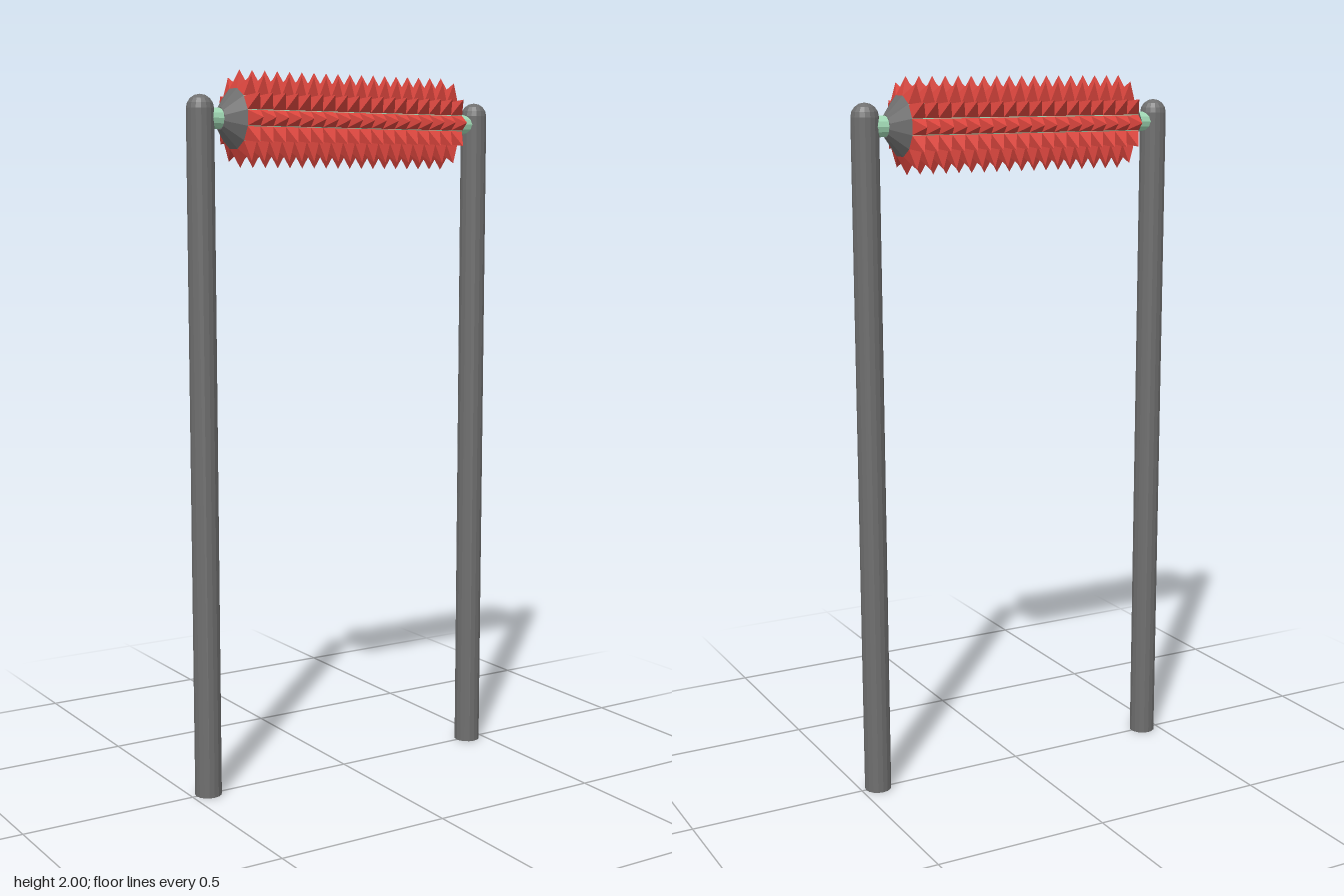
import * as THREE from 'three';
import { mergeGeometries } from 'three/addons/utils/BufferGeometryUtils.js';

const AXIS_Y = 1.87;      // height of the roller axis
const DRUM_HALF = 0.35;   // half length of the drum
const DRUM_R = 0.08;      // axis to flat side of the drum
const TIP_R = 0.13;       // axis to spike tip
const ROWS = 12, PER_ROW = 18;

const material = (color) => new THREE.MeshStandardMaterial({ color, flatShading: true });

function addMesh(parent, name, geometry, mat) {
  const mesh = new THREE.Mesh(geometry, mat);
  mesh.name = name;
  parent.add(mesh);
  return mesh;
}

// Post with a flat foot and a domed top
function postGeometry() {
  const r = 0.0375, shoulder = 1.895;
  const profile = [new THREE.Vector2(0, 0), new THREE.Vector2(r, 0)];
  for (let i = 0; i <= 4; i++) {
    const a = (i / 4) * Math.PI / 2;
    profile.push(new THREE.Vector2(i === 4 ? 0 : r * Math.cos(a), shoulder + r * Math.sin(a)));
  }
  return new THREE.LatheGeometry(profile, 16);
}

// Twelve rows of four-sided spikes around the x axis
function spikesGeometry() {
  const pitch = 2 * DRUM_HALF / PER_ROW;
  const spike = new THREE.ConeGeometry(Math.SQRT1_2, TIP_R - DRUM_R, 4, 1, true)
    .rotateY(Math.PI / 4)
    .scale(pitch, 1, 0.041)
    .translate(0, (TIP_R + DRUM_R) / 2, 0);
  const parts = [];
  for (let row = 0; row < ROWS; row++) {
    for (let i = 0; i < PER_ROW; i++) {
      parts.push(spike.clone()
        .translate(-DRUM_HALF + (i + 0.5) * pitch, 0, 0)
        .rotateX(row * 2 * Math.PI / ROWS));
    }
  }
  return mergeGeometries(parts);
}

export function createModel() {
  const model = new THREE.Group();
  model.name = 'spikedRollerGate';
  const grey = material(0x6e6e6e);
  const green = material(0xa0d8b4);
  const red = material(0xdc463e);

  const roller = new THREE.Group();
  roller.name = 'roller';
  roller.position.y = AXIS_Y;
  model.add(roller);

  // Shaft between the posts, and the twelve-sided drum
  addMesh(roller, 'shaft', new THREE.CylinderGeometry(0.028, 0.028, 0.9, 12).rotateZ(Math.PI / 2), green);
  const corner = DRUM_R / Math.cos(Math.PI / ROWS);
  addMesh(roller, 'drum',
    new THREE.CylinderGeometry(corner, corner, 2 * DRUM_HALF, ROWS, 1, false, Math.PI / ROWS).rotateZ(Math.PI / 2), green);
  addMesh(roller, 'spikes', spikesGeometry(), red);

  // Tapered end caps and posts, mirrored left and right
  for (const side of [1, -1]) {
    const label = side > 0 ? 'left' : 'right';
    const cap = new THREE.CylinderGeometry(0.03, corner, 0.042, ROWS, 1, false, Math.PI / ROWS)
      .rotateZ(-side * Math.PI / 2)
      .translate(side * (DRUM_HALF + 0.021), 0, 0);
    addMesh(roller, label + 'EndCap', cap, grey);
    addMesh(model, label + 'Post', postGeometry(), grey).position.x = side * 0.45;
  }
  return model;
}
